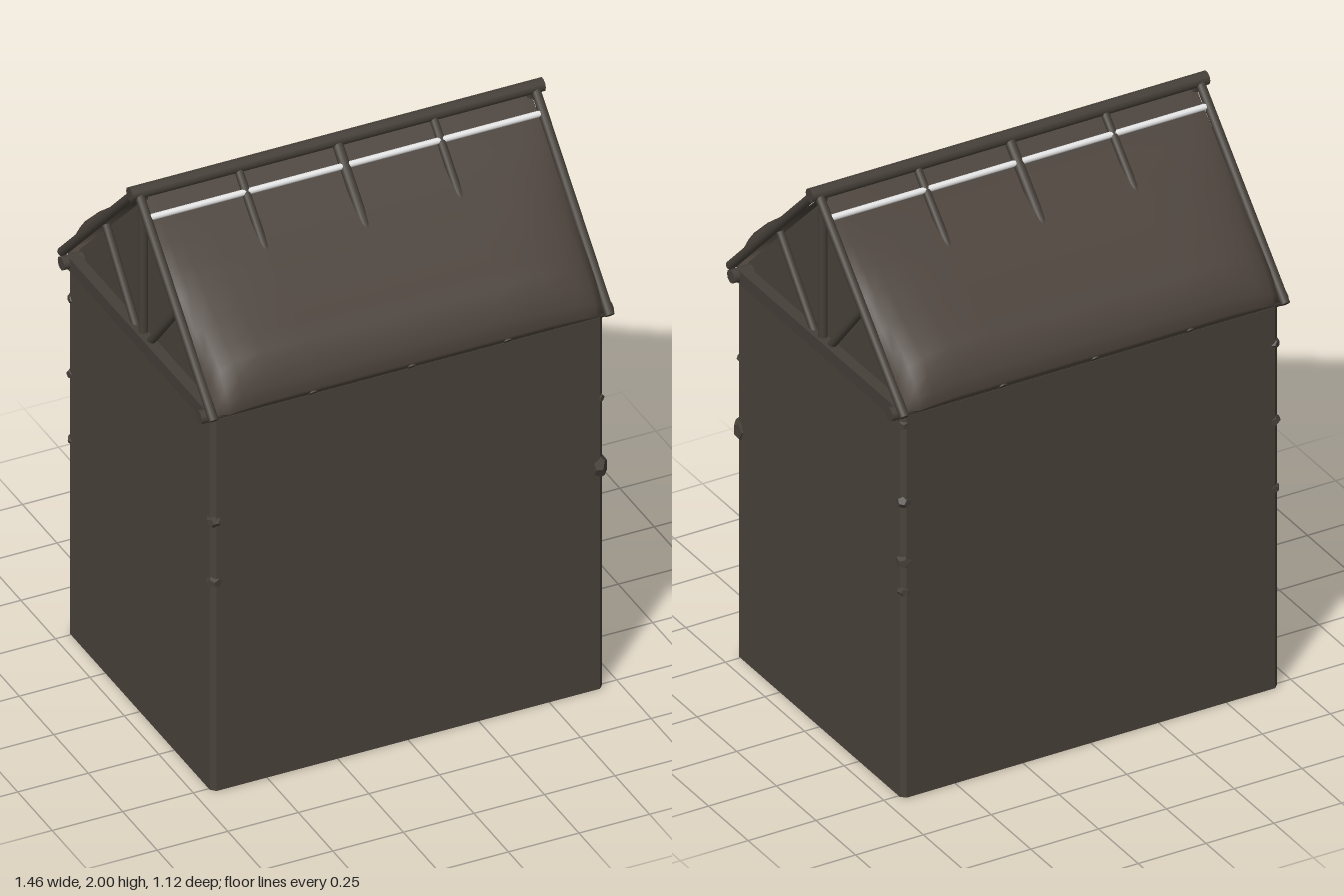
import * as THREE from 'three';

const mat = (name, color, side = THREE.FrontSide) => {
  const m = new THREE.MeshStandardMaterial({ color, side });
  m.name = name;
  return m;
};

export function createModel() {
  const model = new THREE.Group();
  const wallMat = mat('dark wall', 0x484239, THREE.DoubleSide);
  const roofMat = mat('brown hide', 0x4b423b, THREE.DoubleSide);
  const woodMat = mat('dark timber', 0x453f38);
  const whiteMat = mat('white rod', 0xeeeeee);

  const add = (name, geometry, material, parent = model) => {
    const mesh = new THREE.Mesh(geometry, material);
    mesh.name = name;
    parent.add(mesh);
    return mesh;
  };

  // A round pole between two points
  const pole = (name, from, to, r, parent = model, material = woodMat, r2 = r) => {
    const a = new THREE.Vector3(...from), b = new THREE.Vector3(...to);
    const mesh = add(name, new THREE.CylinderGeometry(r2, r, a.distanceTo(b), 10), material, parent);
    mesh.position.copy(a).add(b).multiplyScalar(0.5);
    mesh.quaternion.setFromUnitVectors(new THREE.Vector3(0, 1, 0), b.sub(a).normalize());
    return mesh;
  };

  // Walls: an open tube with slightly cut corners
  const outline = (w, d, c) => [
    [w - c, d], [w, d - c], [w, c - d], [w - c, -d],
    [c - w, -d], [-w, c - d], [-w, d - c], [c - w, d],
  ].map(([x, z]) => new THREE.Vector2(x, z));
  const wallShape = new THREE.Shape(outline(0.695, 0.523, 0.016));
  wallShape.holes.push(new THREE.Path(outline(0.691, 0.519, 0.03)));
  const wallGeo = new THREE.ExtrudeGeometry(wallShape, { depth: 1.41, bevelEnabled: false });
  wallGeo.rotateX(-Math.PI / 2);
  add('walls', wallGeo, wallMat);

  // Roof cover: sagging over the rafters in the middle, tight at both ends
  const profile = [
    [0, 1.96], [0.03, 1.932], [0.065, 1.9], [0.127, 1.843], [0.2, 1.793], [0.27, 1.742],
    [0.365, 1.675], [0.44, 1.635], [0.49, 1.602], [0.525, 1.555], [0.55, 1.505],
    [0.56, 1.455], [0.55, 1.435], [0.5, 1.43],
  ];
  const stations = [-0.69, -0.675, -0.65, -0.6, -0.5, -0.35, -0.17, 0, 0.17, 0.35, 0.5, 0.6, 0.65, 0.675, 0.69];
  const roofGeometry = () => {
    const pos = [], index = [], n = profile.length;
    stations.forEach((x, i) => {
      const t = Math.min(1, (0.69 - Math.abs(x)) / 0.14);
      const puff = 0.3 + 0.7 * Math.sqrt(t);
      const edge = Math.max(0, Math.abs(x) - 0.65) * 0.7;
      profile.forEach(([z, y], j) => {
        const straight = 1.957 - 0.965 * z;
        const py = y > straight ? straight + (y - straight) * puff : y;
        pos.push(x, py, z - edge * Math.pow(z / 0.56, 3));
        if (i < stations.length - 1 && j < n - 1) {
          const a = i * n + j, b = a + n;
          index.push(a, a + 1, b, b, a + 1, b + 1);
        }
      });
    });
    const g = new THREE.BufferGeometry();
    g.setAttribute('position', new THREE.Float32BufferAttribute(pos, 3));
    g.setIndex(index);
    g.computeVertexNormals();
    return g;
  };

  // Each roof half: cover, rafters, eave log and the pale rod near the ridge
  for (const s of [1, -1]) {
    const half = new THREE.Group();
    half.name = s > 0 ? 'frontRoof' : 'backRoof';
    model.add(half);
    const cover = add('roofCover', roofGeometry(), roofMat, half);
    if (s < 0) cover.rotation.y = Math.PI;
    for (const x of [-0.35, 0, 0.34]) {
      pole('rafter', [x, 1.433, s * 0.55], [x, 1.975, 0], 0.015, half, woodMat, x === 0 ? 0.018 : 0.014);
    }
    for (const x of [-0.702, 0.702]) {
      pole('gableRafter', [x, 1.428, s * 0.55], [x, 1.98, 0], 0.016, half);
    }
    pole('eaveLog', [-0.73, 1.42, s * 0.5], [0.73, 1.42, s * 0.5], 0.024, half);
    pole('paleRod', [-0.69, 1.914, s * 0.065], [0.69, 1.914, s * 0.065], 0.011, half, whiteMat);
  }
  pole('ridgeLog', [-0.732, 1.976, 0], [0.732, 1.976, 0], 0.024);

  // Gables: recessed panel, tie beam, king post and two braces
  for (const s of [1, -1]) {
    const gable = new THREE.Group();
    gable.name = s > 0 ? 'leftGable' : 'rightGable';
    model.add(gable);
    const tri = new THREE.Shape([
      new THREE.Vector2(-0.52, 1.4), new THREE.Vector2(0.52, 1.4),
      new THREE.Vector2(0.52, 1.44), new THREE.Vector2(0, 1.955), new THREE.Vector2(-0.52, 1.44),
    ]);
    const panel = add('gablePanel', new THREE.ShapeGeometry(tri), wallMat, gable);
    panel.rotation.y = s * Math.PI / 2;
    panel.position.x = s * 0.655;
    const tie = add('tieBeam', new THREE.BoxGeometry(0.04, 0.048, 1.0), woodMat, gable);
    tie.position.set(s * 0.688, 1.418, 0);
    pole('kingPost', [s * 0.683, 1.42, 0], [s * 0.683, 1.96, 0], 0.016, gable);
    for (const d of [1, -1]) {
      pole('brace', [s * 0.683, 1.43, d * 0.05], [s * 0.683, 1.69, d * 0.27], 0.014, gable);
    }
  }

  // Small lumps on the wall corners: x side, z side, height, size
  const lumps = [
    [1, 1, 1.1, 0.02], [1, 1, 0.84, 0.031],
    [1, -1, 1.375, 0.022], [1, -1, 1.09, 0.025], [1, -1, 0.87, 0.028], [1, -1, 0.76, 0.022],
    [-1, 1, 1.02, 0.026], [-1, 1, 0.79, 0.026],
    [-1, -1, 1.27, 0.022], [-1, -1, 0.985, 0.024], [-1, -1, 0.735, 0.022],
  ];
  lumps.forEach(([sx, sz, y, r], i) => {
    const geo = new THREE.DodecahedronGeometry(r, 0);
    geo.rotateY(i * 1.3);
    const lump = add('cornerLump', geo, woodMat);
    lump.scale.y = i === 1 ? 1.5 : 0.9;
    lump.position.set(sx * 0.681, y, sz * 0.508);
  });

  return model;
}
